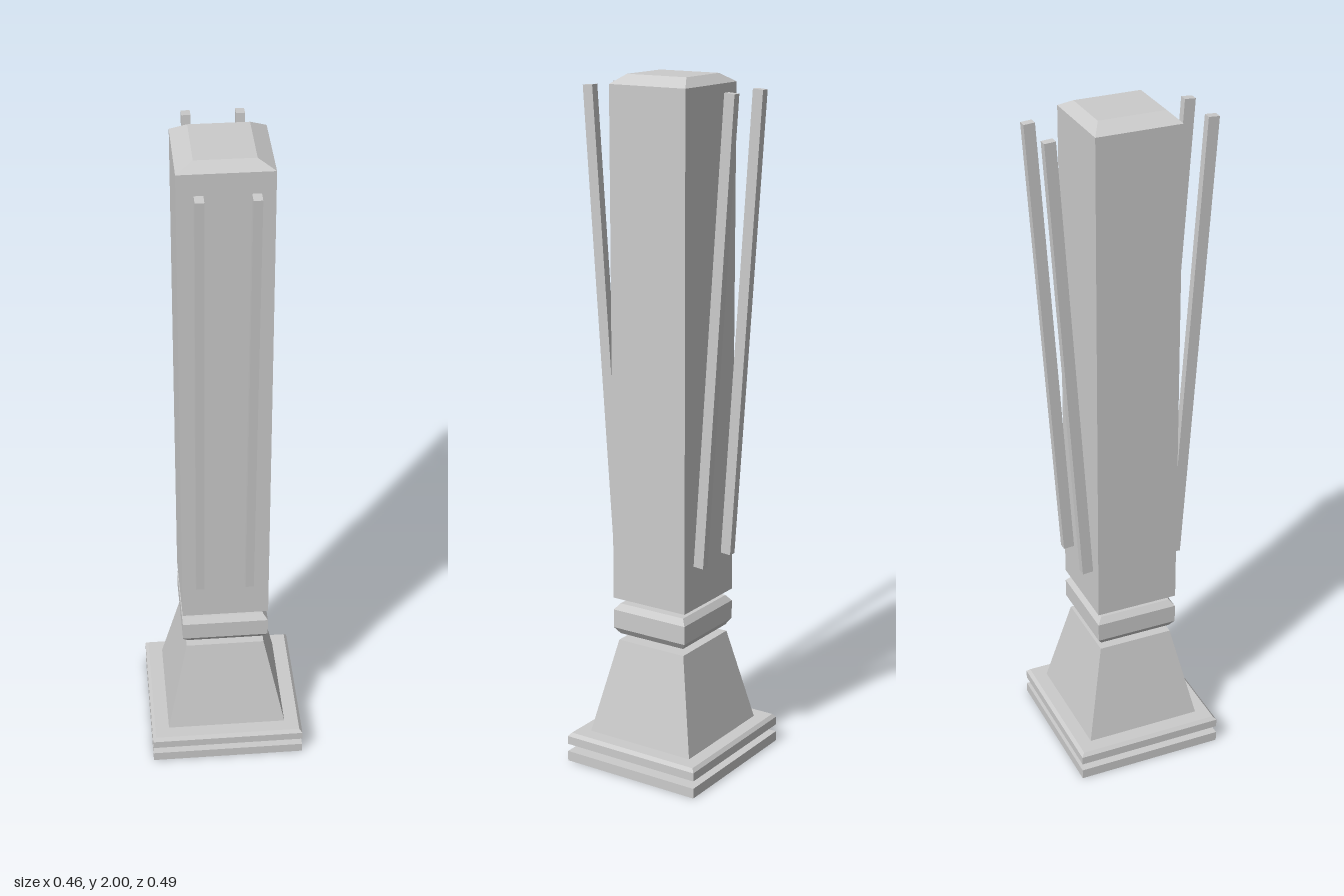
import * as THREE from 'three';

const material = new THREE.MeshStandardMaterial({ color: 0xcccccc, flatShading: true });
const CORNERS = [[1, 1], [1, -1], [-1, -1], [-1, 1]];

// Stack of rectangular rings [halfWidth, halfDepth, y], joined by flat walls.
// A ring of zero size closes an end.
function loft(name, rings) {
  const positions = [];
  const point = ([hx, hz, y], i) => [CORNERS[i % 4][0] * hx, y, CORNERS[i % 4][1] * hz];
  for (let r = 0; r < rings.length - 1; r++) {
    const low = rings[r], high = rings[r + 1];
    for (let i = 0; i < 4; i++) {
      const a = point(low, i), b = point(low, i + 1), c = point(high, i + 1), d = point(high, i);
      if (low[0] > 0) positions.push(...a, ...b, ...c);
      if (high[0] > 0) positions.push(...a, ...c, ...d);
    }
  }
  const geometry = new THREE.BufferGeometry();
  geometry.setAttribute('position', new THREE.Float32BufferAttribute(positions, 3));
  geometry.computeVertexNormals();
  const mesh = new THREE.Mesh(geometry, material);
  mesh.name = name;
  return mesh;
}

export function createModel() {
  const model = new THREE.Group();
  model.name = 'pillar';

  // Double-slab foot, recessed from below
  model.add(loft('steppedFoot', [
    [0, 0, 0.25], [0.1, 0.096, 0.03], [0.148, 0.142, 0.03], [0.148, 0.142, 0],
    [0.229, 0.221, 0], [0.229, 0.221, 0.03], [0.158, 0.153, 0.03], [0.158, 0.153, 0.053],
    [0.229, 0.221, 0.053], [0.229, 0.221, 0.078], [0.22, 0.212, 0.088], [0.178, 0.173, 0.088],
  ]));

  // Tapered pedestal
  model.add(loft('pedestal', [[0.178, 0.173, 0.088], [0.116, 0.112, 0.37], [0, 0, 0.37]]));

  // Narrow necks below and above the collar
  model.add(loft('lowerNeck', [[0.052, 0.05, 0.36], [0.052, 0.05, 0.4]]));
  model.add(loft('upperNeck', [[0.046, 0.044, 0.475], [0.046, 0.044, 0.51]]));

  // Collar with bevelled rims
  model.add(loft('collar', [
    [0, 0, 0.39], [0.113, 0.109, 0.39], [0.127, 0.123, 0.41],
    [0.127, 0.123, 0.465], [0.113, 0.109, 0.483], [0, 0, 0.483],
  ]));

  // Tall shaft with bevelled top
  model.add(loft('shaft', [
    [0, 0, 0.502], [0.127, 0.123, 0.502], [0.127, 0.123, 1.975], [0.081, 0.096, 2], [0, 0, 2],
  ]));

  // Slim rods leaning outwards from the front and back
  const rodGeometry = new THREE.BoxGeometry(0.024, 1.336, 0.032);
  for (const side of [1, -1]) {
    for (const x of [-0.076, 0.068]) {
      const rod = new THREE.Mesh(rodGeometry, material);
      rod.name = side > 0 ? 'frontRod' : 'backRod';
      rod.position.set(x, 1.298, side * 0.184);
      rod.rotation.x = side * 0.068;
      model.add(rod);
    }
  }
  return model;
}
